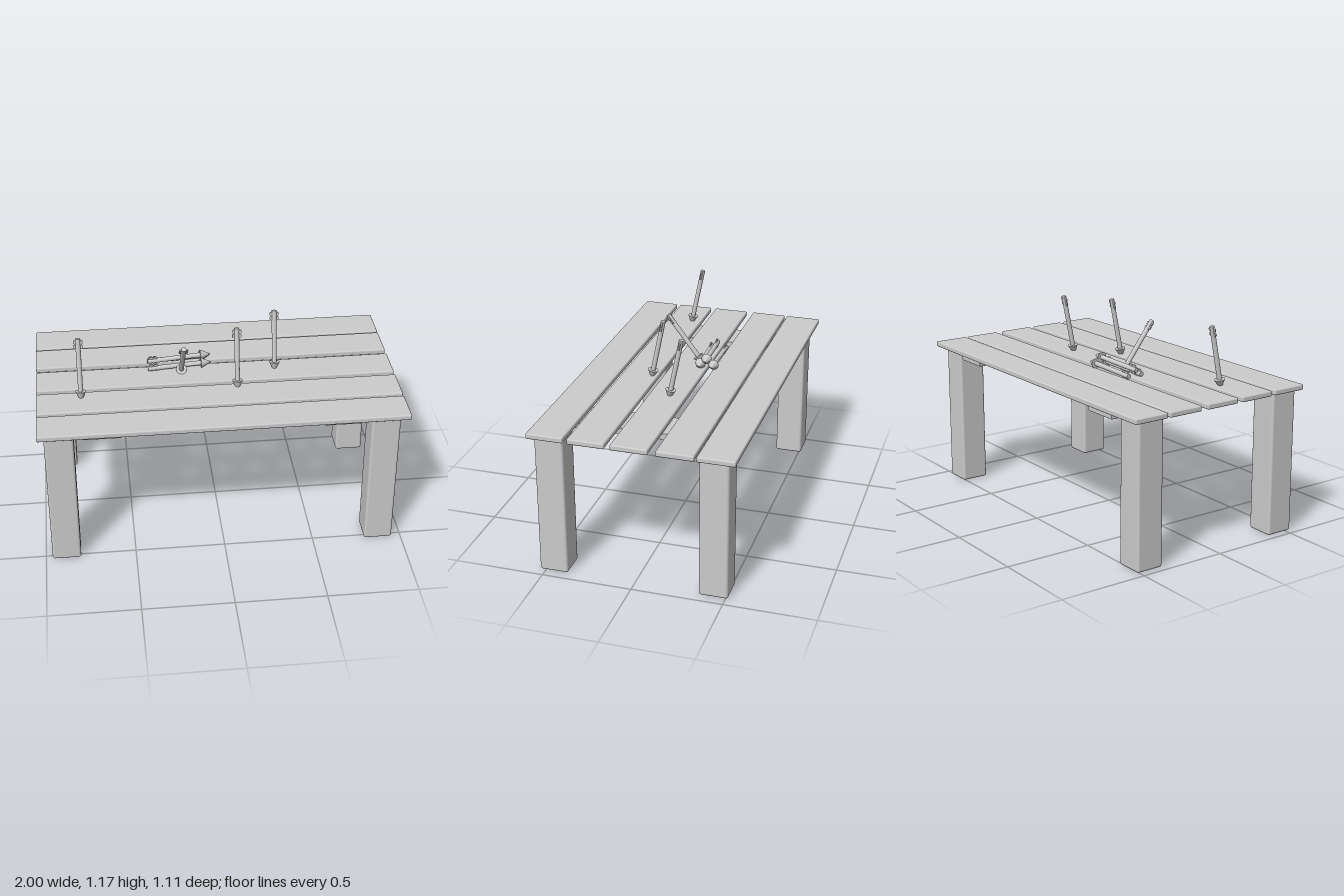
import * as THREE from 'three';
import { RoundedBoxGeometry } from 'three/addons/geometries/RoundedBoxGeometry.js';

const material = new THREE.MeshStandardMaterial({ color: 0xcccccc });

// Softly bevelled timber between two corners
function timber(name, min, max, bevel) {
  const size = max.map((v, i) => v - min[i]);
  const mesh = new THREE.Mesh(new RoundedBoxGeometry(...size, 2, bevel), material);
  mesh.position.set(...max.map((v, i) => (v + min[i]) / 2));
  mesh.name = name;
  return mesh;
}

// Flat notched fin plate, crossing the shaft near the tail
function finGeometry(length) {
  const outline = [
    [0.012, -0.058], [0.025, -0.051], [0.025, -0.038], [0.016, -0.033],
    [0.025, -0.026], [0.025, -0.013], [0.012, -0.006],
  ];
  const mirrored = outline.map(([x, y]) => [-x, y]).reverse();
  const shape = new THREE.Shape([...outline, ...mirrored].map(([x, y]) => new THREE.Vector2(x, length + y)));
  const geometry = new THREE.ExtrudeGeometry(shape, { depth: 0.008, bevelEnabled: false });
  return geometry.translate(0, 0, -0.004);
}

// Arrow running from its tip to its tail
function arrow(name, tip, tail) {
  const from = new THREE.Vector3(...tip);
  const along = new THREE.Vector3(...tail).sub(from);
  const length = along.length();
  const headLength = 0.06;
  const group = new THREE.Group();
  group.name = name;

  const add = (part, geometry) => {
    const mesh = new THREE.Mesh(geometry, material);
    mesh.name = part;
    group.add(mesh);
  };
  const shaftLength = length - headLength;
  add('arrowHead', new THREE.ConeGeometry(0.03, headLength, 24).rotateX(Math.PI).translate(0, headLength / 2, 0));
  add('arrowShaft', new THREE.CylinderGeometry(0.0135, 0.0135, shaftLength, 16).translate(0, headLength + shaftLength / 2, 0));
  add('arrowFins', finGeometry(length));

  group.position.copy(from);
  group.quaternion.setFromUnitVectors(new THREE.Vector3(0, 1, 0), along.normalize());
  return group;
}

export function createModel() {
  const model = new THREE.Group();
  model.name = 'tableWithArrows';

  // Table top: five long planks
  for (const z of [0.456, 0.232, 0.001, -0.241, -0.456]) {
    model.add(timber('plank', [-1, 0.804, z - 0.101], [1, 0.835, z + 0.101], 0.008));
  }

  // Cross battens beneath the planks
  for (const x of [-0.657, 0.64]) {
    model.add(timber('batten', [x - 0.102, 0.77, -0.53], [x + 0.102, 0.806, 0.51], 0.004));
  }

  // Square legs with chamfered edges
  for (const x of [-0.885, 0.87]) {
    for (const z of [0.454, -0.434]) {
      model.add(timber('leg', [x - 0.079, 0, z - 0.079], [x + 0.079, 0.815, z + 0.079], 0.014));
    }
  }

  // Arrows stuck upright in the top, leaning back
  for (const [x, z] of [[-0.755, 0.19], [0.107, 0.168], [0.337, -0.006]]) {
    model.add(arrow('standingArrow', [x, 0.81, z], [x, 1.164, z - 0.072]));
  }

  // Arrow leaning steeply forward
  model.add(arrow('leaningArrow', [-0.188, 0.806, -0.055], [-0.188, 1.086, 0.16]));

  // Small pile of three arrows lying on the table
  const pile = [
    [0.862, -0.068, 0.849, -0.05],
    [0.893, -0.105, 0.876, -0.085],
    [0.862, -0.142, 0.849, -0.135],
  ];
  for (const [tipY, tipZ, tailY, tailZ] of pile) {
    model.add(arrow('lyingArrow', [-0.015, tipY, tipZ], [-0.373, tailY, tailZ]));
  }

  return model;
}
